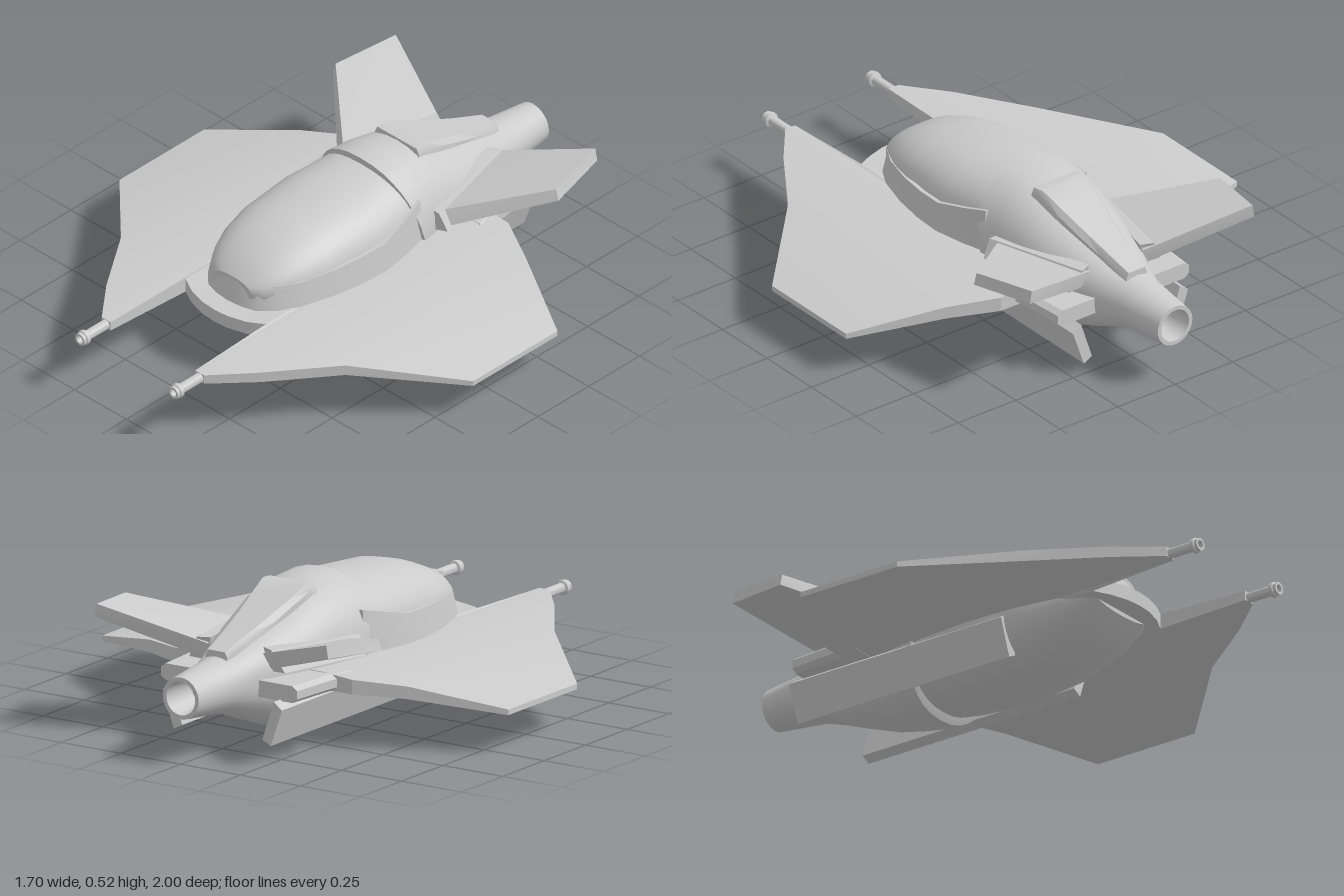
import * as THREE from 'three';
import { toCreasedNormals } from 'three/addons/utils/BufferGeometryUtils.js';

const material = new THREE.MeshStandardMaterial({ color: 0xcccccc });

function part(name, geometry) {
  const mesh = new THREE.Mesh(geometry, material);
  mesh.name = name;
  return mesh;
}

// Closed solid skinned over equal-length rings of [x, y, z]; faces always point outwards
function skin(rings, crease = 0.6) {
  const n = rings[0].length, pts = rings.flat(), tris = [];
  for (let r = 0; r < rings.length - 1; r++) {
    for (let i = 0; i < n; i++) {
      const a = r * n + i, b = r * n + (i + 1) % n;
      tris.push([a, b, b + n], [a, b + n, a + n]);
    }
  }
  const last = (rings.length - 1) * n;
  for (let i = 1; i < n - 1; i++) tris.push([0, i + 1, i], [last, last + i, last + i + 1]);
  const v = pts.map(p => new THREE.Vector3(...p));
  const cross = new THREE.Vector3();
  let volume = 0;
  for (const [a, b, c] of tris) volume += v[a].dot(cross.crossVectors(v[b], v[c]));
  const geometry = new THREE.BufferGeometry();
  geometry.setAttribute('position', new THREE.Float32BufferAttribute(pts.flat(), 3));
  geometry.setIndex(tris.flatMap(([a, b, c]) => volume > 0 ? [a, b, c] : [a, c, b]));
  return toCreasedNormals(geometry, crease);
}

// Rounded hull section; lean slides the ring along z with height
function section([z, w, mid, top, bottom, lean = 0, power = 0.88]) {
  const ring = [], n = 32;
  for (let i = 0; i < n; i++) {
    const a = i / n * Math.PI * 2, c = Math.cos(a), s = Math.sin(a);
    const x = w * Math.sign(c) * Math.abs(c) ** power;
    const h = Math.abs(s) ** power;
    const y = s > 0 ? mid + (top - mid) * h : mid - (mid - bottom) * h;
    ring.push([x, y, z + lean * (y - 0.26)]);
  }
  return ring;
}

// Mirrored pair of solids given by rings for the +x side
function pair(name, rings) {
  const group = new THREE.Group();
  group.name = name + 's';
  for (const s of [1, -1]) {
    const mirrored = rings.map(r => r.map(([x, y, z]) => [s * x, y, z]));
    group.add(part((s > 0 ? 'left ' : 'right ') + name, skin(mirrored)));
  }
  return group;
}

export function createModel() {
  const model = new THREE.Group();
  model.name = 'spacecraft';

  // Belly below the wing
  model.add(part('belly', skin([
    [0.49, 0.15, 0.22, 0.25, 0.185], [0.45, 0.18, 0.22, 0.25, 0.14],
    [0.37, 0.205, 0.22, 0.25, 0.085], [0.2, 0.235, 0.22, 0.25, 0.03],
    [0, 0.245, 0.22, 0.25, 0.01], [-0.2, 0.235, 0.22, 0.25, 0.025],
    [-0.34, 0.2, 0.22, 0.25, 0.04],
  ].map(section))));

  // Canopy
  model.add(part('canopy', skin([
    [0.48, 0.09, 0.31, 0.345, 0.26], [0.455, 0.13, 0.31, 0.37, 0.26],
    [0.4, 0.17, 0.31, 0.41, 0.26], [0.32, 0.205, 0.31, 0.443, 0.26],
    [0.22, 0.228, 0.31, 0.47, 0.26], [0, 0.243, 0.31, 0.49, 0.26],
    [-0.24, 0.22, 0.31, 0.5, 0.26],
  ].map(section))));

  // Raised rim around the canopy, rising towards the rear
  const half = [[0.23, -0.22], [0.252, -0.13], [0.27, 0], [0.263, 0.11], [0.243, 0.23],
    [0.205, 0.36], [0.165, 0.43], [0.115, 0.48], [0.06, 0.497]];
  const outline = [...half, [0, 0.503], ...half.slice().reverse().map(([x, z]) => [-x, z])];
  model.add(part('canopy rim', skin(outline.map(([x, z]) => {
    const top = z > 0 ? 0.36 - 0.04 * z : 0.36 - 0.25 * z;
    const at = (k, y) => [x * k, y, z > 0 ? z * k : z];
    return [at(1, 0.255), at(0.955, top), at(0.9, top), at(0.84, 0.255)];
  }))));

  // Rear hull with a raised collar, tapering into a hollow tail pipe
  model.add(part('rear hull', skin([
    [-0.215, 0.225, 0.26, 0.49, 0.03, 0.27], [-0.22, 0.243, 0.26, 0.523, 0.006, 0.27],
    [-0.3, 0.232, 0.26, 0.522, 0.008, 0.22], [-0.39, 0.218, 0.26, 0.5, 0.02, 0.13],
    [-0.51, 0.193, 0.25, 0.44, 0.042, 0.05], [-0.65, 0.15, 0.245, 0.385, 0.09],
    [-0.72, 0.122, 0.242, 0.358, 0.118], [-0.8, 0.097, 0.24, 0.337, 0.143, 0, 1],
    [-1, 0.075, 0.24, 0.315, 0.165, 0, 1], [-1, 0.06, 0.24, 0.3, 0.18, 0, 1],
    [-0.86, 0.05, 0.24, 0.29, 0.19, 0, 1],
  ].map(section))));

  // Spine panel on the rear hull: z, half width at base, half width on top, height
  model.add(part('spine panel', skin([
    [-0.33, 0.105, 0.095, 0.515], [-0.375, 0.103, 0.09, 0.519], [-0.46, 0.093, 0.078, 0.484],
    [-0.56, 0.078, 0.062, 0.442], [-0.66, 0.063, 0.049, 0.405], [-0.785, 0.045, 0.036, 0.362],
  ].map(([z, base, top, y]) => [
    [-base, y - 0.06, z], [-base, y - 0.022, z], [-top, y, z],
    [top, y, z], [base, y - 0.022, z], [base, y - 0.06, z],
  ]))));

  // One-piece wing: x, front z, back z, top y and bottom y (front, then back)
  const rows = [
    [0, 0.57, -0.5, 0.25, 0.2, 0.262, 0.2], [0.06, 0.565, -0.5, 0.25, 0.2, 0.262, 0.2],
    [0.13, 0.545, -0.5, 0.25, 0.2, 0.262, 0.2], [0.193, 0.513, -0.5, 0.255, 0.2, 0.262, 0.2],
    [0.203, 0.87, -0.5, 0.248, 0.213, 0.262, 0.2], [0.246, 0.87, -0.5, 0.248, 0.213, 0.262, 0.2],
    [0.37, 0.72, -0.5, 0.245, 0.205, 0.252, 0.2], [0.54, 0.475, -0.412, 0.235, 0.195, 0.235, 0.19],
    [0.85, 0.165, -0.25, 0.165, 0.145, 0.165, 0.145],
  ];
  const wingRows = [...rows.slice(1).reverse().map(r => [-r[0], ...r.slice(1)]), ...rows];
  model.add(part('wing', skin(wingRows.map(([x, zf, zb, tf, bf, tb, bb]) =>
    [[x, tf, zf], [x, tb, zb], [x, bb, zb], [x, bf, zf]]), 0.3)));

  // Pods at the wing roots
  model.add(pair('wing pod', [[-0.42, 0.33], [-0.52, 0.3], [-0.71, 0.285]].map(([z, x]) => [
    [0.12, 0.2, z], [x - 0.02, 0.2, z], [x, 0.215, z], [x, 0.245, z], [x - 0.02, 0.26, z], [0.12, 0.26, z],
  ])));

  // Slanted keel plates under the wing
  model.add(pair('keel plate', [0.16, -0.75].map(z => [
    [0.215, 0.205, z], [0.25, 0.18, z], [0.203, 0.046, z], [0.168, 0.064, z],
  ])));

  // Tail fins: root block along the hull, then the canted blade
  model.add(pair('tail fin root', [
    [[0.21, 0.345, -0.28], [0.25, 0.345, -0.28], [0.283, 0.28, -0.29], [0.23, 0.27, -0.28]],
    [[0.11, 0.365, -0.66], [0.155, 0.365, -0.68], [0.2, 0.285, -0.66], [0.13, 0.28, -0.65]],
  ]));
  model.add(pair('tail fin blade', [
    [[0.225, 0.335, -0.3], [0.115, 0.345, -0.67], [0.15, 0.295, -0.67], [0.265, 0.285, -0.31]],
    [[0.53, 0.44, -0.57], [0.48, 0.462, -0.815], [0.488, 0.415, -0.815], [0.542, 0.398, -0.57]],
  ]));

  // Wingtip guns with a flared, hollow muzzle
  const gunProfile = [[0, 0.8], [0.018, 0.8], [0.018, 0.968], [0.027, 0.972], [0.027, 0.985],
    [0.023, 0.988], [0.023, 1], [0.014, 1], [0.014, 0.95], [0, 0.95]];
  for (const s of [1, -1]) {
    const lathe = new THREE.LatheGeometry(gunProfile.map(p => new THREE.Vector2(...p)), 16);
    const gun = part(s > 0 ? 'left gun' : 'right gun', toCreasedNormals(lathe.rotateX(Math.PI / 2), 0.6));
    gun.position.set(s * 0.225, 0.229, 0);
    model.add(gun);
  }
  return model;
}
